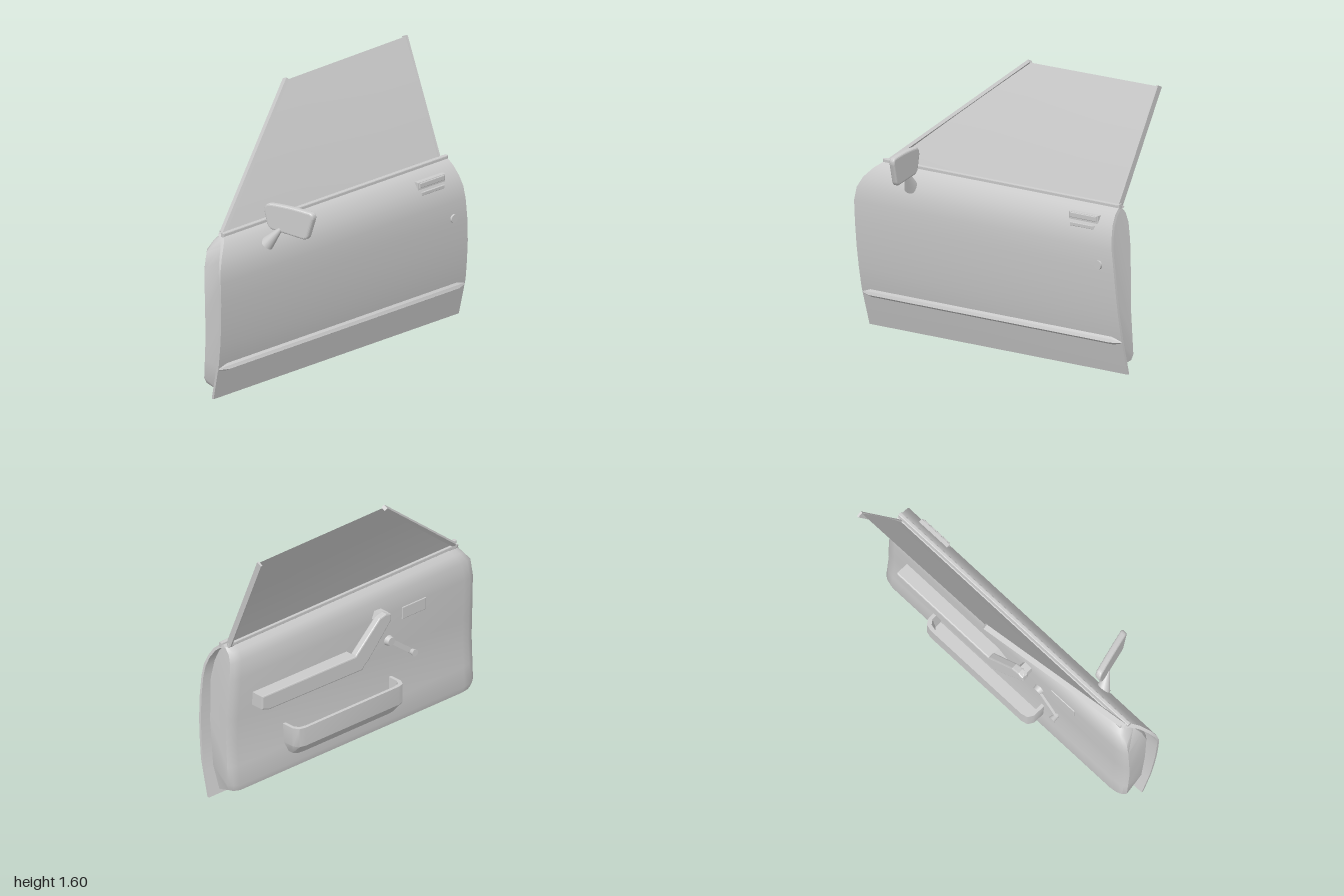
import * as THREE from 'three';
import { toCreasedNormals } from 'three/addons/utils/BufferGeometryUtils.js';

const grey = new THREE.MeshStandardMaterial({ color: 0xcccccc });
const greyThin = new THREE.MeshStandardMaterial({ color: 0xcccccc, side: THREE.DoubleSide });
const V = (a) => new THREE.Vector3(...a);

// Piecewise linear lookup in a list of [key, value]
function lookup(table, k) {
  for (let i = 1; i < table.length; i++) {
    const [k0, v0] = table[i - 1], [k1, v1] = table[i];
    if (k <= k1) return v0 + (v1 - v0) * Math.max(0, (k - k0) / (k1 - k0));
  }
  return table[table.length - 1][1];
}

// Closed solid through rings of points; each ring runs counter-clockwise seen from the end
function loft(rings, crease = 0.6) {
  const n = rings[0].length, last = (rings.length - 1) * n, index = [];
  const quad = (a, b, c, d) => index.push(a, b, c, a, c, d);
  for (let r = 0; r < rings.length - 1; r++)
    for (let i = 0; i < n; i++) {
      const j = (i + 1) % n, a = r * n, b = a + n;
      quad(a + i, a + j, b + j, b + i);
    }
  for (let i = 0; i < n / 2 - 1; i++) {
    quad(last + i, last + i + 1, last + n - 2 - i, last + n - 1 - i);
    quad(n - 1 - i, n - 2 - i, i + 1, i);
  }
  const g = new THREE.BufferGeometry();
  g.setAttribute('position', new THREE.Float32BufferAttribute(rings.flat(2), 3));
  g.setIndex(index);
  return toCreasedNormals(g, crease);
}

// Sweep an x/y section along z between a rear and a front edge that vary with height
function sweep(profile, rear, front, stations) {
  return loft(stations.map(([t, s]) => profile.map(([x, y]) => {
    const z0 = lookup(rear, y), z1 = lookup(front, y);
    return [-0.01 + (x + 0.01) * s, 0.48 + (y - 0.48) * (1 - (1 - s) * 0.12), z0 + (z1 - z0) * t];
  })));
}

// Side outline of [z, y] points given thickness from x0 to x1
function slab(points, x0, x1, bevel = 0.008) {
  const shape = new THREE.Shape(points.map(([z, y]) => new THREE.Vector2(z, y)));
  const g = new THREE.ExtrudeGeometry(shape, {
    depth: x1 - x0 - 2 * bevel, bevelSize: bevel, bevelThickness: bevel, bevelOffset: -bevel, bevelSegments: 2,
  });
  return g.rotateY(-Math.PI / 2).translate(x1 - bevel, 0, 0);
}

const rect = (z0, z1, y0, y1) => [[z0, y0], [z1, y0], [z1, y1], [z0, y1]];

// Straight square bar from p to q, its thickness along the given normal
function bar(p, q, width, thick, normal) {
  const a = V(p), b = V(q), dir = b.clone().sub(a), len = dir.length();
  dir.normalize();
  const side = dir.clone().cross(normal).normalize(), n = side.clone().cross(dir);
  const m = new THREE.Matrix4().makeBasis(dir, n, side).setPosition(a.add(b).multiplyScalar(0.5));
  return new THREE.BoxGeometry(len, thick, width).applyMatrix4(m);
}

// Round rod from p to q
function rod(p, q, r0, r1, sides = 20) {
  const a = V(p), b = V(q), dir = b.clone().sub(a);
  const g = new THREE.CylinderGeometry(r1, r0, dir.length(), sides);
  g.applyQuaternion(new THREE.Quaternion().setFromUnitVectors(new THREE.Vector3(0, 1, 0), dir.normalize()));
  const c = a.add(b).multiplyScalar(0.5);
  return g.translate(c.x, c.y, c.z);
}

export function createModel() {
  const model = new THREE.Group();
  model.name = 'carDoor';
  const add = (name, geometry, material = grey, parent = model) => {
    const mesh = new THREE.Mesh(geometry, material);
    mesh.name = name;
    parent.add(mesh);
    return mesh;
  };
  const group = (name) => {
    const g = new THREE.Group();
    g.name = name;
    model.add(g);
    return g;
  };

  // Outer skin
  const outer = [[0.015, 0], [0.055, 0.165], [0.068, 0.22], [0.085, 0.34], [0.097, 0.46], [0.104, 0.6],
    [0.105, 0.72], [0.095, 0.795], [0.074, 0.855], [0.04, 0.91], [0.005, 0.942], [-0.03, 0.955]];
  const inner = outer.map(([x, y]) => [x - 0.015, y - 0.012 * Math.max(0, (y - 0.7) / 0.25)]).reverse();
  const skinFront = [[0, 0.965], [0.17, 0.975], [0.45, 0.988], [0.72, 1], [0.795, 0.99], [0.855, 0.96],
    [0.91, 0.91], [0.942, 0.87], [0.955, 0.85]];
  const skinRear = [[0, -1], [0.22, -1], [0.46, -0.988], [0.6, -0.977], [0.8, -0.953], [0.955, -0.92]];
  add('outerSkin', sweep([...outer, ...inner], skinRear, skinFront, [[0, 1], [1, 1]]));

  // Inner shell with softened ends
  const shell = [[0, 0.015], [0.042, 0.17], [0.078, 0.45], [0.088, 0.72], [0.06, 0.84], [0.02, 0.91],
    [-0.015, 0.945], [-0.045, 0.948], [-0.085, 0.915], [-0.108, 0.86], [-0.113, 0.75], [-0.103, 0.5],
    [-0.1, 0.35], [-0.112, 0.2], [-0.122, 0.08], [-0.115, 0.045]];
  const shellFront = [[0, 0.9], [0.08, 0.935], [0.72, 0.945], [0.86, 0.925], [0.95, 0.86]];
  const shellRear = [[0, -0.92], [0.08, -0.945], [0.6, -0.94], [0.95, -0.91]];
  add('innerShell', sweep(shell, shellRear, shellFront,
    [[0, 0.75], [0.012, 0.9], [0.035, 1], [0.95, 1], [0.975, 0.95], [0.99, 0.86], [1, 0.7]]));

  // Side moulding with tapered ends
  const trim = [[0.048, 0.165], [0.086, 0.185], [0.078, 0.203], [0.058, 0.225]];
  add('sideMoulding', loft([[-0.998, 0.35], [-0.93, 1], [0.91, 1], [0.972, 0.35]].map(([z, s]) =>
    trim.map(([x, y]) => [0.053 + (x - 0.053) * s, 0.19 + (y - 0.19) * s, z])), 0.3));

  // Window glass, its seal and frame strips
  const win = group('window');
  const A = [-0.035, 0.95, 0.84], B = [-0.035, 0.95, -0.89], C = [-0.32, 1.59, -0.92], D = [-0.31, 1.585, 0.05];
  const glass = new THREE.PlaneGeometry(1, 1, 4, 8), pos = glass.attributes.position;
  for (let i = 0; i < pos.count; i++) {
    const u = pos.getX(i) + 0.5, v = pos.getY(i) + 0.5;
    const p = V(A).lerp(V(B), u).lerp(V(D).lerp(V(C), u), v);
    pos.setXYZ(i, p.x + 0.03 * v * (1 - v), p.y, p.z);
  }
  glass.computeVertexNormals();
  add('glass', glass, greyThin, win);
  const out = new THREE.Vector3(0.91, 0.41, 0);
  add('frontFrame', bar([-0.03, 0.94, 0.855], [-0.318, 1.588, 0.045], 0.022, 0.032, out), grey, win);
  add('rearFrame', bar([-0.045, 0.95, -0.89], [-0.333, 1.59, -0.922], 0.012, 0.035, out), grey, win);
  add('outerSeal', slab(rect(-0.925, 0.875, 0.935, 0.962), -0.02, 0.005, 0.006), grey, win);
  add('innerSeal', slab(rect(-0.9, 0.85, 0.935, 0.96), -0.055, -0.037, 0.005), grey, win);

  // Wing mirror
  const mirror = group('wingMirror');
  const headShape = new THREE.Shape();
  headShape.moveTo(0.042, 1.04);
  headShape.quadraticCurveTo(0.045, 1.083, 0.08, 1.085);
  headShape.quadraticCurveTo(0.2, 1.09, 0.325, 1.073);
  headShape.quadraticCurveTo(0.352, 1.068, 0.346, 1.035);
  headShape.lineTo(0.315, 0.93);
  headShape.quadraticCurveTo(0.307, 0.905, 0.28, 0.908);
  headShape.lineTo(0.1, 0.93);
  headShape.quadraticCurveTo(0.068, 0.935, 0.06, 0.965);
  const head = new THREE.ExtrudeGeometry(headShape, {
    depth: 0.016, bevelSize: 0.012, bevelThickness: 0.012, bevelOffset: -0.012, bevelSegments: 3, curveSegments: 6,
  });
  const hp = head.attributes.position;
  for (let i = 0; i < hp.count; i++) hp.setZ(i, hp.getZ(i) + 0.565 - (hp.getX(i) - 0.05) * 0.27);
  head.computeVertexNormals();
  add('mirrorHead', head, grey, mirror);
  add('mirrorStem', rod([0.068, 0.845, 0.595], [0.145, 0.945, 0.56], 0.042, 0.012), grey, mirror);

  // Outside handle and lock
  const handle = group('outerHandle');
  add('handleSurround', slab(rect(-0.83, -0.61, 0.835, 0.895), 0.03, 0.076, 0.004), grey, handle);
  add('handleFlap', slab(rect(-0.82, -0.62, 0.86, 0.89), 0.05, 0.083, 0.004), grey, handle);
  add('handleLip', slab(rect(-0.81, -0.63, 0.815, 0.836), 0.06, 0.09, 0.003), grey, handle);
  add('keyLock', rod([0.08, 0.625, -0.865], [0.116, 0.625, -0.865], 0.025, 0.025, 24));

  // Armrest with rising pull grip
  const arm = group('armrest');
  add('armrestPad', slab([[-0.77, 0.55], [-0.72, 0.53], [0, 0.52], [0.02, 0.56], [-0.05, 0.625], [-0.77, 0.63]],
    -0.19, -0.09), grey, arm);
  add('pullGrip', slab([[-0.1, 0.54], [0, 0.53], [0.05, 0.57], [0.22, 0.76], [0.215, 0.8], [0.18, 0.812],
    [0.13, 0.8], [-0.05, 0.63]], -0.19, -0.145), grey, arm);
  add('gripFoot', slab([[0.14, 0.765], [0.215, 0.765], [0.21, 0.805], [0.16, 0.808]], -0.175, -0.09), grey, arm);

  // Inside latch plate
  add('latchPlate', slab(rect(0.37, 0.55, 0.68, 0.755), -0.118, -0.09, 0.004));

  // Window crank
  const crank = group('windowCrank');
  add('crankHub', rod([-0.09, 0.58, 0.27], [-0.135, 0.58, 0.27], 0.035, 0.025), grey, crank);
  add('crankArm', bar([-0.122, 0.59, 0.26], [-0.135, 0.465, 0.425], 0.028, 0.014, new THREE.Vector3(1, 0, 0)), grey, crank);
  add('crankKnob', rod([-0.12, 0.465, 0.42], [-0.168, 0.468, 0.42], 0.014, 0.021), grey, crank);

  // Open door pocket
  const bin = (y, d, i) => [[-0.095, -0.53 + i], [-0.1 - d * 0.65, -0.53 + i], [-0.1 - d * 0.92, -0.51 + i],
    [-0.1 - d, -0.47 + i], [-0.1 - d, 0.24 - i], [-0.1 - d * 0.92, 0.28 - i], [-0.1 - d * 0.65, 0.3 - i],
    [-0.095, 0.3 - i]].map(([x, z]) => [x, y, z]);
  add('doorPocket', loft([bin(0.16, 0.075, 0.03), bin(0.225, 0.125, 0), bin(0.34, 0.125, 0),
    bin(0.34, 0.105, 0.02), bin(0.2, 0.085, 0.03)]));

  return model;
}
